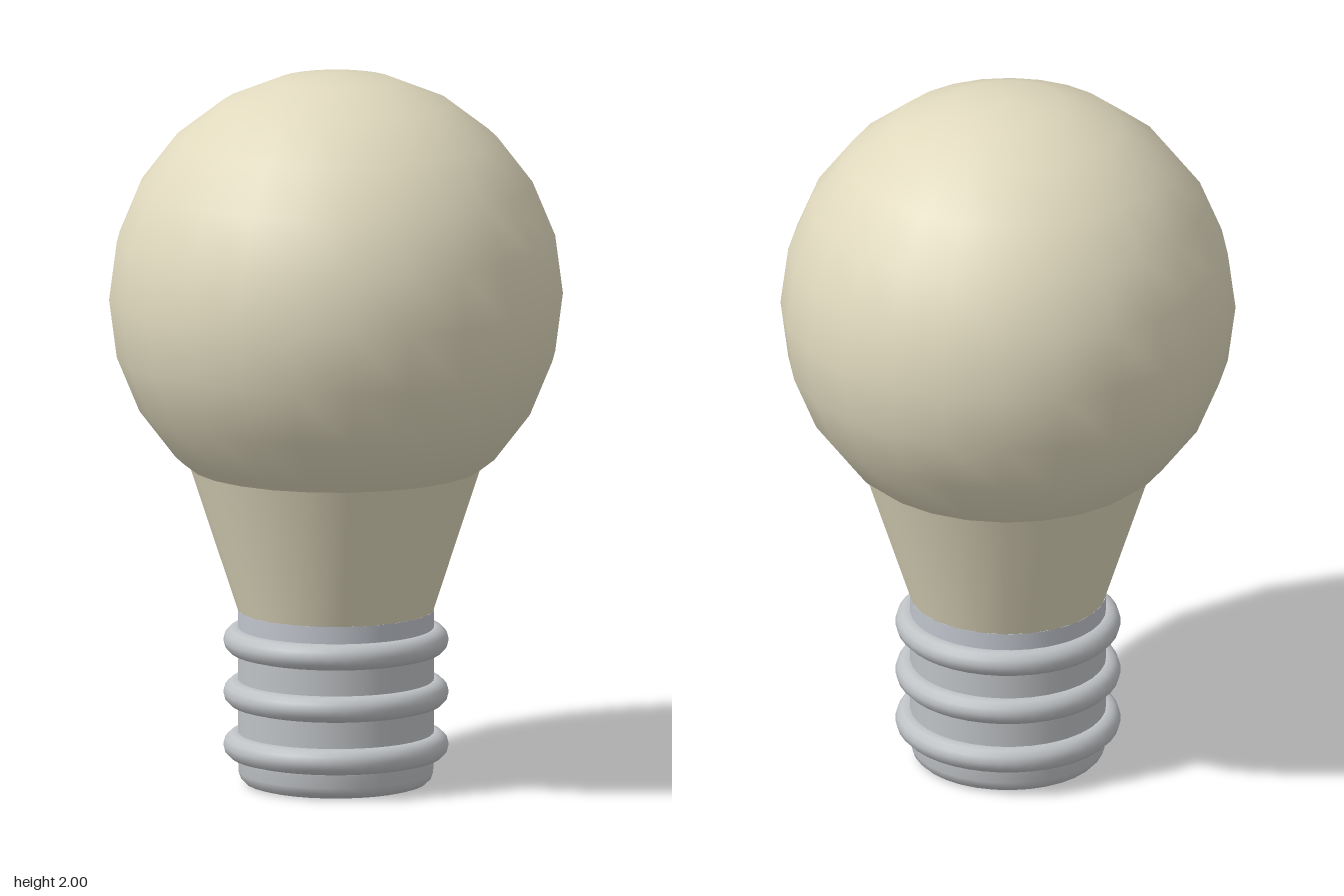
import * as THREE from 'three';

export function createModel() {
  const model = new THREE.Group();
  const glass = new THREE.MeshStandardMaterial({ color: 0xe0d9be });
  glass.name = 'warm glass';
  const metal = new THREE.MeshStandardMaterial({ color: 0xbfc2c5 });
  metal.name = 'grey metal';
  const collarMetal = new THREE.MeshStandardMaterial({ color: 0xc0c4cc });
  collarMetal.name = 'pale collar metal';

  const add = (name, geometry, material, y) => {
    const mesh = new THREE.Mesh(geometry, material);
    mesh.name = name;
    mesh.position.y = y;
    model.add(mesh);
    return mesh;
  };

  // Glass globe and the cone that tapers down to the socket
  add('globe', new THREE.SphereGeometry(0.63, 24, 12), glass, 1.37);
  add('neck', new THREE.CylinderGeometry(0.415, 0.272, 0.435, 24, 1, true), glass, 0.7075);

  // Screw base with a plain collar at the top
  add('screwBase', new THREE.CylinderGeometry(0.272, 0.272, 0.37, 32, 1, true), metal, 0.255);
  add('collar', new THREE.CylinderGeometry(0.272, 0.272, 0.05, 32), collarMetal, 0.465);

  // Thread rings
  for (const y of [0.11, 0.258, 0.405]) {
    const ring = add('threadRing', new THREE.TorusGeometry(0.275, 0.037, 12, 40), metal, y);
    ring.rotation.x = Math.PI / 2;
  }

  // Rounded foot closing the bottom
  const foot = [[0.235, 0], [0.252, 0.005], [0.264, 0.017], [0.27, 0.035], [0.272, 0.08]]
    .map(([r, y]) => new THREE.Vector2(r, y));
  add('foot', new THREE.LatheGeometry(foot, 32), metal, 0);
  const cap = add('footDisc', new THREE.CircleGeometry(0.235, 32), metal, 0);
  cap.rotation.x = Math.PI / 2;

  return model;
}
